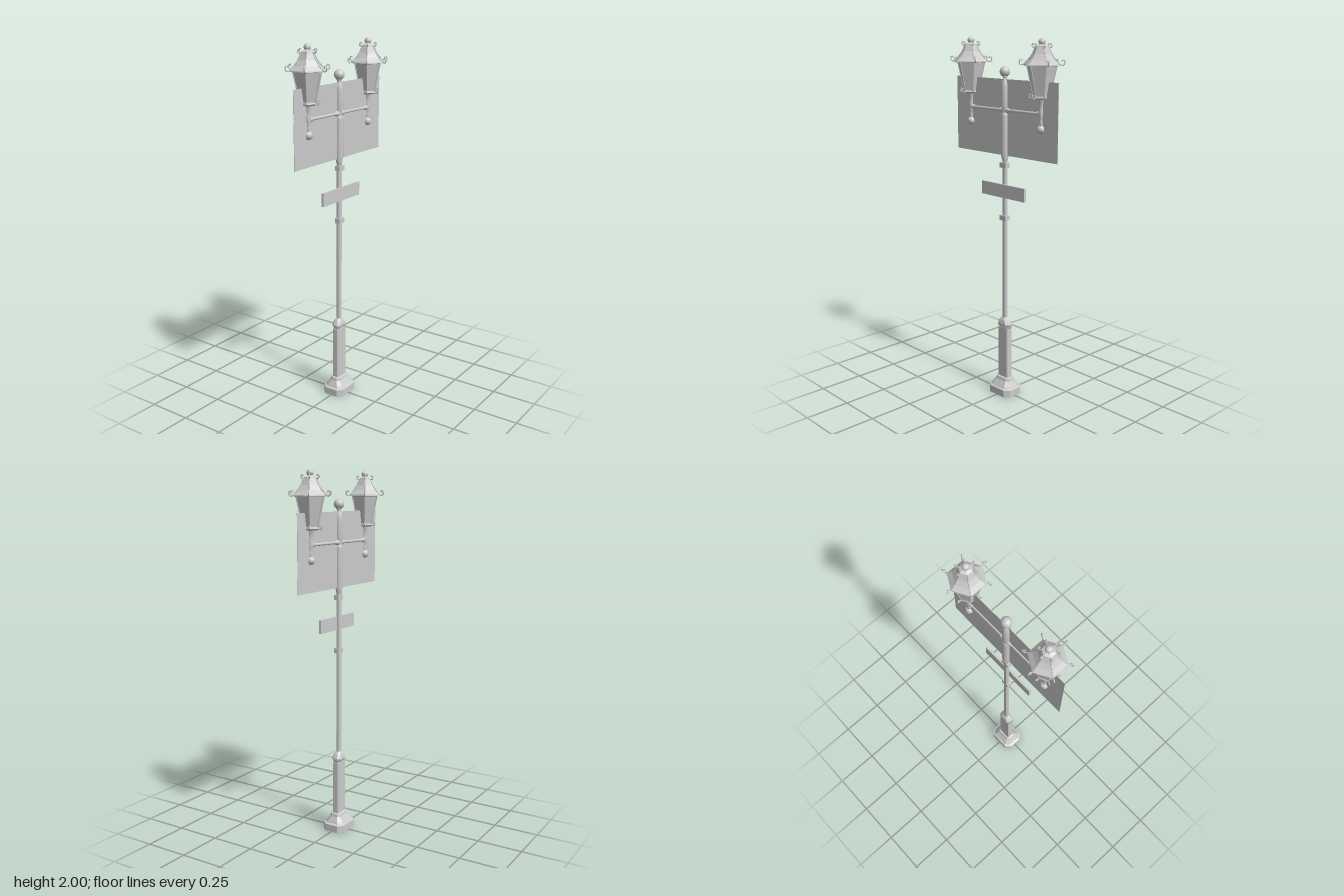
import * as THREE from 'three';

const smooth = new THREE.MeshStandardMaterial({ color: 0xcccccc, side: THREE.DoubleSide });
const flat = new THREE.MeshStandardMaterial({ color: 0xcccccc, side: THREE.DoubleSide, flatShading: true });

function add(parent, name, geometry, material, x = 0, y = 0, z = 0) {
  const mesh = new THREE.Mesh(geometry, material);
  mesh.name = name;
  mesh.position.set(x, y, z);
  parent.add(mesh);
  return mesh;
}

// Turned profile from [radius, y] pairs
function turned(points, sides) {
  return new THREE.LatheGeometry(points.map(([r, y]) => new THREE.Vector2(r, y)), sides);
}

// Stacked chamfered rectangles from [halfX, halfZ, chamfer, y] rows
function chamferedLoft(rows) {
  const positions = [], index = [];
  for (const [hx, hz, c, y] of rows) {
    const ring = [[hx, hz - c], [hx - c, hz], [c - hx, hz], [-hx, hz - c],
      [-hx, c - hz], [c - hx, -hz], [hx - c, -hz], [hx, c - hz]];
    for (const [x, z] of ring) positions.push(x, y, z);
  }
  for (let r = 0; r < rows.length - 1; r++) {
    for (let i = 0; i < 8; i++) {
      const a = r * 8 + i, b = r * 8 + (i + 1) % 8;
      index.push(a, a + 8, b, b, a + 8, b + 8);
    }
  }
  const geometry = new THREE.BufferGeometry();
  geometry.setAttribute('position', new THREE.Float32BufferAttribute(positions, 3));
  geometry.setIndex(index);
  geometry.computeVertexNormals();
  return geometry;
}

// Thin bent wire through [radius, y] points in the xy plane
function wire(points, radius) {
  const curve = new THREE.CatmullRomCurve3(points.map(([x, y]) => new THREE.Vector3(x, y, 0)));
  return new THREE.TubeGeometry(curve, 28, radius, 6);
}

function createLantern() {
  const lantern = new THREE.Group();
  lantern.name = 'lantern';

  // Stem with ball drop
  add(lantern, 'ballDrop', new THREE.SphereGeometry(0.023, 16, 12), smooth, 0, 1.545, 0);
  add(lantern, 'lanternStem', turned([[0.008, 1.555], [0.013, 1.575], [0.01, 1.585], [0.01, 1.605],
    [0.014, 1.612], [0.014, 1.64], [0.011, 1.65], [0.014, 1.68], [0.02, 1.7]], 14), smooth);

  // Six-sided glass body, corners on the x axis
  const hexBody = add(lantern, 'glassBody', turned([[0, 1.695], [0.04, 1.697], [0.047, 1.705],
    [0.044, 1.715], [0.077, 1.862], [0.082, 1.868]], 6), flat);
  hexBody.rotation.y = Math.PI / 6 * 3;
  const roof = add(lantern, 'roof', turned([[0.075, 1.862], [0.095, 1.865], [0.094, 1.871], [0.07, 1.893],
    [0.05, 1.92], [0.036, 1.953], [0.034, 1.96], [0.018, 1.967], [0.008, 1.975]], 6), flat);
  roof.rotation.y = Math.PI / 6 * 3;
  add(lantern, 'finial', new THREE.SphereGeometry(0.0185, 16, 12), smooth, 0, 1.981, 0);

  // Ribs and scrolls at each corner
  const eaveScroll = wire([[0.034, 1.957], [0.051, 1.921], [0.072, 1.894], [0.094, 1.872], [0.109, 1.868],
    [0.118, 1.879], [0.114, 1.892], [0.105, 1.893], [0.102, 1.885]], 0.003);
  const crownScroll = wire([[0.034, 1.953], [0.045, 1.953], [0.051, 1.963], [0.046, 1.973], [0.039, 1.968]], 0.0027);
  const footScroll = wire([[0.044, 1.708], [0.055, 1.702], [0.064, 1.707], [0.066, 1.717],
    [0.059, 1.722], [0.055, 1.716]], 0.0027);
  const bodyRib = wire([[0.044, 1.712], [0.06, 1.786], [0.078, 1.864]], 0.003);
  for (let i = 0; i < 6; i++) {
    const corner = new THREE.Group();
    corner.name = 'cornerIronwork';
    corner.rotation.y = i * Math.PI / 3;
    add(corner, 'eaveScroll', eaveScroll, smooth);
    add(corner, 'crownScroll', crownScroll, smooth);
    add(corner, 'footScroll', footScroll, smooth);
    add(corner, 'bodyRib', bodyRib, smooth);
    lantern.add(corner);
  }
  return lantern;
}

export function createModel() {
  const model = new THREE.Group();
  model.name = 'streetLamp';

  // Hollow plinth, pedestal shaft and cap
  add(model, 'plinth', chamferedLoft([[0.05, 0.067, 0.022, 0.03], [0.05, 0.067, 0.022, 0], [0.065, 0.083, 0.026, 0],
    [0.065, 0.083, 0.026, 0.04], [0.056, 0.07, 0.023, 0.046], [0.05, 0.066, 0.02, 0.055],
    [0.033, 0.052, 0.015, 0.08], [0.029, 0.049, 0.013, 0.095], [0.02, 0.04, 0.009, 0.1]]), flat);
  add(model, 'pedestal', chamferedLoft([[0.02, 0.04, 0.006, 0.095], [0.02, 0.04, 0.006, 0.397]]), flat);
  add(model, 'pedestalCap', chamferedLoft([[0.02, 0.034, 0.009, 0.397], [0.019, 0.034, 0.009, 0.403],
    [0.026, 0.041, 0.013, 0.412], [0.026, 0.041, 0.013, 0.423], [0.021, 0.03, 0.011, 0.442],
    [0.013, 0.018, 0.007, 0.455], [0.011, 0.014, 0.005, 0.457]]), flat);

  // Lower pole with two sign brackets
  add(model, 'lowerPole', chamferedLoft([[0.011, 0.014, 0.005, 0.45], [0.011, 0.014, 0.005, 1.345]]), flat);
  for (const y of [1.035, 1.328]) {
    add(model, 'bracket', new THREE.BoxGeometry(0.031, 0.028, 0.045), flat, 0.003, y, 0);
  }

  // Turned upper pole and ball
  add(model, 'upperPole', turned([[0.011, 1.335], [0.014, 1.35], [0.022, 1.385], [0.022, 1.595], [0.018, 1.605],
    [0.015, 1.61], [0.015, 1.635], [0.022, 1.645], [0.022, 1.745], [0.017, 1.775], [0.011, 1.785],
    [0.011, 1.795], [0.016, 1.8], [0.01, 1.81]], 16), smooth);
  add(model, 'topBall', new THREE.SphereGeometry(0.028, 20, 14), smooth, 0, 1.824, 0);

  // Signs
  add(model, 'largePanel', new THREE.BoxGeometry(0.002, 0.405, 0.77), flat, 0, 1.5825, 0);
  add(model, 'smallSign', new THREE.BoxGeometry(0.013, 0.073, 0.334), flat, 0.012, 1.186, 0);

  // Crossarm with a lantern on each end
  for (const side of [1, -1]) {
    const arm = add(model, 'crossarm', turned([[0.014, 0], [0.014, 0.03], [0.008, 0.04],
      [0.008, 0.235], [0.013, 0.24], [0.013, 0.268]], 12), smooth, 0, 1.623, 0);
    arm.rotation.x = side * Math.PI / 2;
    const lantern = createLantern();
    lantern.position.z = side * 0.268;
    model.add(lantern);
  }
  return model;
}
